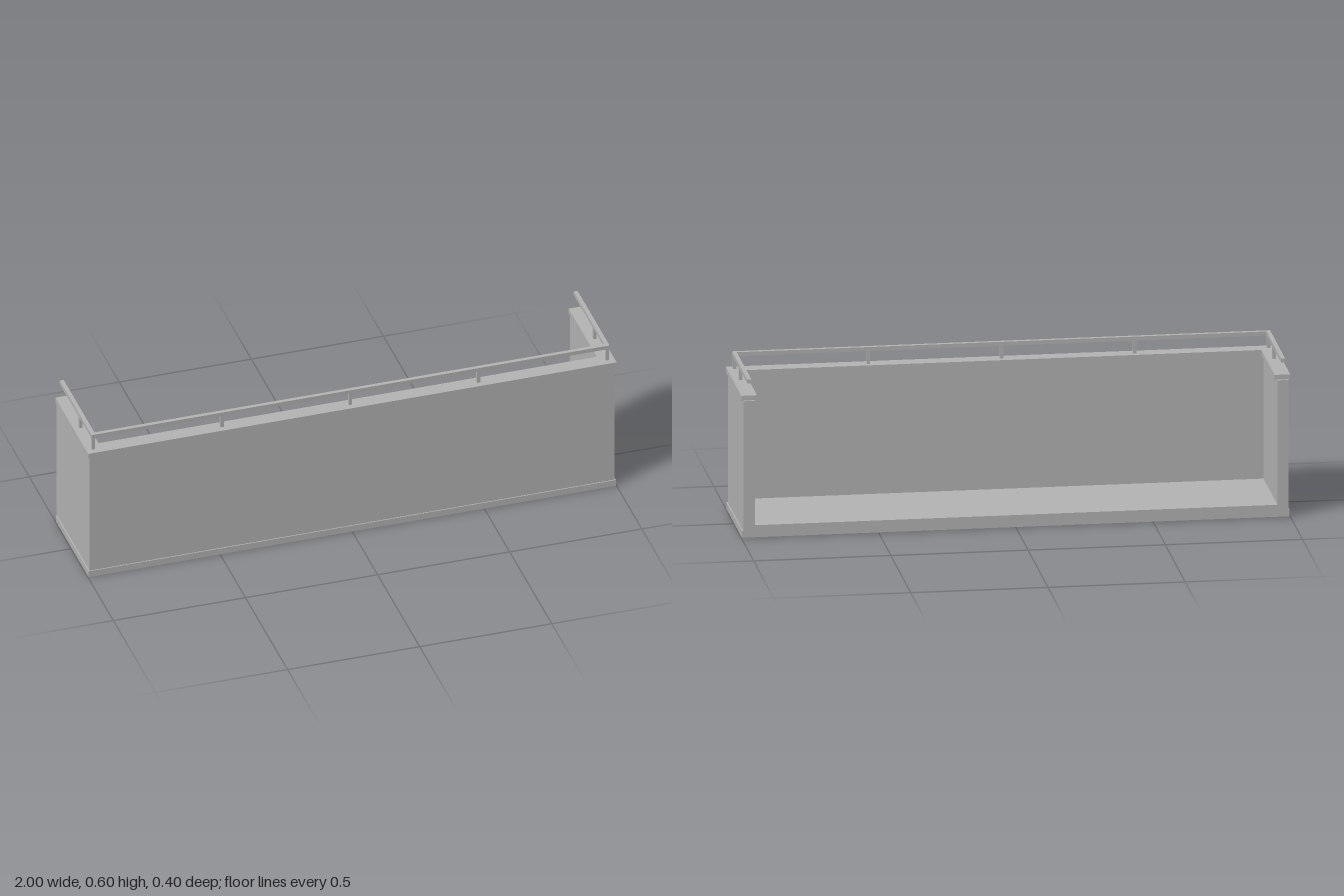
import * as THREE from 'three';

export function createModel() {
  const balcony = new THREE.Group();
  balcony.name = 'balcony';
  const grey = new THREE.MeshStandardMaterial({ color: 0xb3b3b3 });
  grey.name = 'grey';

  function add(name, geometry) {
    const mesh = new THREE.Mesh(geometry, grey);
    mesh.name = name;
    balcony.add(mesh);
    return mesh;
  }

  // U-shaped course, open at the back: x and z are its outer limits, t its width
  function course(name, x, front, back, t, y0, y1) {
    const outline = [
      [-x, back], [-x, front], [x, front], [x, back],
      [x - t, back], [x - t, front - t], [-x + t, front - t], [-x + t, back],
    ].map(([px, pz]) => new THREE.Vector2(px, -pz));
    const geometry = new THREE.ExtrudeGeometry(new THREE.Shape(outline), {
      depth: y1 - y0, bevelEnabled: false,
    });
    geometry.rotateX(-Math.PI / 2);
    geometry.translate(0, y0, 0);
    add(name, geometry);
  }

  // Floor slab and parapet
  const floorTop = 0.048, base = 0.003;
  add('floor', new THREE.BoxGeometry(1.91, floorTop - base, 0.352))
    .position.set(0, (floorTop + base) / 2, -0.024);
  course('parapet', 0.993, 0.195, -0.2, 0.041, base, 0.514);

  // Projecting trim at the foot and coping on top
  course('baseTrim', 0.998, 0.199, -0.19, 0.011, 0, 0.025);
  course('coping', 1.0, 0.202, -0.19, 0.057, 0.512, 0.532);

  // Handrail and its posts
  course('handrail', 0.98, 0.18, -0.2, 0.015, 0.58, 0.595);
  const posts = [-0.9725, -0.485, 0, 0.485, 0.9725].map((x) => [x, 0.1725]);
  posts.push([-0.9725, 0.024], [0.9725, 0.024]);
  for (const [x, z] of posts) {
    add('railPost', new THREE.BoxGeometry(0.0125, 0.05, 0.0125)).position.set(x, 0.556, z);
  }

  return balcony;
}
